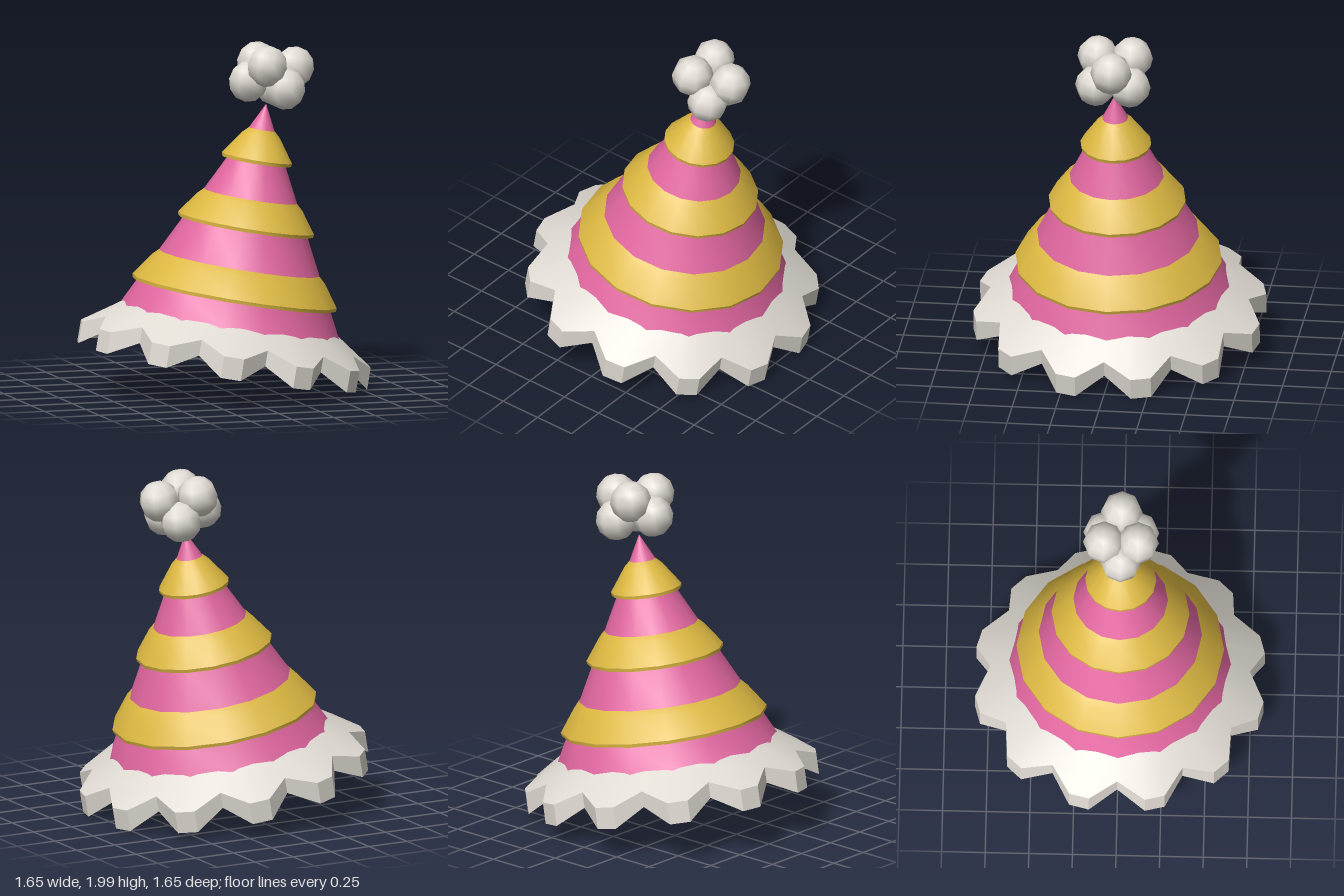
import * as THREE from 'three';
import { toCreasedNormals } from 'three/addons/utils/BufferGeometryUtils.js';

const mat = (name, color) => new THREE.MeshStandardMaterial({ name, color, side: THREE.DoubleSide });
const SLOPE = 0.504; // cone radius gained per unit below the tip

export function createModel() {
  const pink = mat('pink', 0xe0669f);
  const yellow = mat('yellow', 0xdbb741);
  const white = mat('white', 0xdfdad2);
  const model = new THREE.Group();
  model.name = 'partyHat';

  // The hat leans to its left; its origin is the tip, and depths run down the axis
  const hat = new THREE.Group();
  hat.name = 'hat';
  hat.position.set(0.25, 1.65, 0);
  hat.rotation.z = -THREE.MathUtils.degToRad(10);
  model.add(hat);

  const add = (parent, name, geometry, material) => {
    const mesh = new THREE.Mesh(geometry, material);
    mesh.name = name;
    parent.add(mesh);
    return mesh;
  };

  // Turned part from [depth, radius] pairs, listed from the bottom up
  const turned = (name, pairs, material) => {
    const points = pairs.map(([d, r]) => new THREE.Vector2(r, -d));
    return add(hat, name, toCreasedNormals(new THREE.LatheGeometry(points, 16), 0.6), material);
  };
  const onCone = (d) => [d, d * SLOPE];

  // Flared yellow bands, each closed on the inside by the cone wall
  const bands = [[0.148, 0.335], [0.538, 0.715], [0.928, 1.112]];
  bands.forEach(([top, bottom]) => {
    turned('yellowBand', [
      onCone(bottom),
      [bottom, bottom * SLOPE + 0.032],
      [bottom - 0.02, bottom * SLOPE + 0.035],
      [top + 0.034, top * SLOPE + 0.036],
      onCone(top),
      onCone(bottom),
    ], yellow);
  });

  // Pink cone sections between the bands
  [[0, 0.148], [0.335, 0.538], [0.715, 0.928], [1.112, 1.275]].forEach(([top, bottom]) => {
    turned('pinkCone', [onCone(bottom), onCone(top)], pink);
  });

  add(hat, 'brim', brimGeometry(), white);

  // Pompom made of six balls
  const pompom = new THREE.Group();
  pompom.name = 'pompom';
  model.add(pompom);
  const ball = new THREE.SphereGeometry(0.12, 8, 6);
  [
    [0.145, 1.785, 0], [0.42, 1.855, 0],
    [0.225, 1.88, 0.098], [0.225, 1.88, -0.098],
    [0.335, 1.745, 0.098], [0.335, 1.745, -0.098],
  ].forEach(([x, y, z]) => {
    const mesh = add(pompom, 'pompomBall', ball, white);
    mesh.position.set(x, y, z);
    mesh.rotation.z = hat.rotation.z;
  });
  return model;
}

// Sloping brim with twelve square teeth, a thick rim and an inner collar
function brimGeometry() {
  const steps = [[0, false], [11, true], [19, true]];
  const columns = [];
  for (let tooth = 0; tooth < 12; tooth++) {
    for (const [offset, out] of steps) {
      const a = THREE.MathUtils.degToRad(tooth * 30 + offset);
      // [depth, radius] around the cross-section
      const section = [
        [1.23, 0.592],
        out ? [1.4, 0.842] : [1.338, 0.745],
        out ? [1.526, 0.842] : [1.43, 0.745],
        [1.3, 0.592],
      ];
      columns.push(section.map(([d, r]) => [r * Math.cos(a), -d, r * Math.sin(a)]));
    }
  }
  const position = [];
  columns.forEach((c, i) => {
    const n = columns[(i + 1) % columns.length];
    for (let k = 0; k < 4; k++) {
      const m = (k + 1) % 4;
      position.push(...c[k], ...n[k], ...n[m], ...c[k], ...n[m], ...c[m]);
    }
  });
  // Reverse each triangle so that the faces point outward
  for (let i = 0; i < position.length; i += 9) {
    const b = position.slice(i + 3, i + 6);
    for (let j = 0; j < 3; j++) {
      position[i + 3 + j] = position[i + 6 + j];
      position[i + 6 + j] = b[j];
    }
  }
  const geometry = new THREE.BufferGeometry();
  geometry.setAttribute('position', new THREE.Float32BufferAttribute(position, 3));
  return toCreasedNormals(geometry, 0.5);
}
